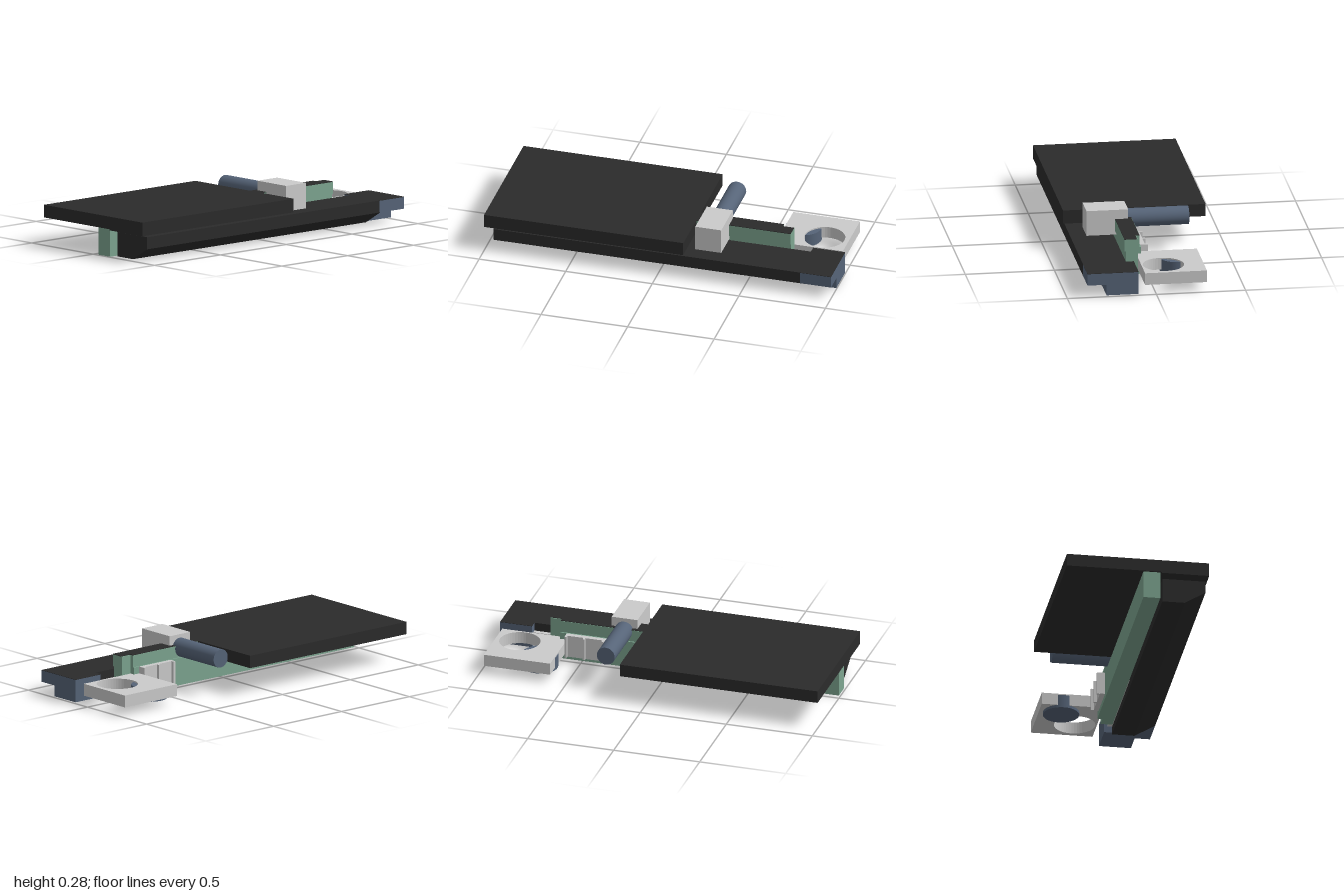
import * as THREE from 'three';

const mat = (color) => new THREE.MeshStandardMaterial({ color });

export function createModel() {
  const root = new THREE.Group();
  const grey = mat(0xcccccc), black = mat(0x2b2b2b), green = mat(0x7da590), blue = mat(0x566478);

  const add = (name, geometry, material) => {
    const mesh = new THREE.Mesh(geometry, material);
    mesh.name = name;
    root.add(mesh);
    return mesh;
  };
  // box given by its two extremes on each axis
  const box = (name, material, [x0, x1], [y0, y1], [z0, z1]) => {
    const mesh = add(name, new THREE.BoxGeometry(x1 - x0, y1 - y0, z1 - z0), material);
    mesh.position.set((x0 + x1) / 2, (y0 + y1) / 2, (z0 + z1) / 2);
    return mesh;
  };
  const extrude = (shape, depth) =>
    new THREE.ExtrudeGeometry(shape, { depth, bevelEnabled: false, curveSegments: 24 });

  // wide upper plate, slightly thicker on its left side
  box('topPlate', black, [-0.4, 0.4], [0.157, 0.228], [-0.15, 1]);
  box('topPlateLip', black, [0.135, 0.4], [0.151, 0.158], [-0.15, 1]);

  // long side beam with a chamfered lower edge
  const section = new THREE.Shape([
    [0.145, 0], [0.27, 0], [0.387, 0.07], [0.387, 0.138], [0.145, 0.138],
  ].map(([x, y]) => new THREE.Vector2(x, y)));
  add('sideBeam', extrude(section, 1.77), black).position.z = -0.82;

  // stepped block closing the rear of the beam, with a dark cap
  box('endBlockUpper', blue, [0.1, 0.387], [0.07, 0.136], [-1, -0.815]);
  box('endBlockLower', blue, [0.1, 0.28], [0.008, 0.07], [-1, -0.815]);
  box('endBlockCap', black, [0.1, 0.387], [0.136, 0.138], [-1, -0.815]);

  // inner rail with a raised rear part
  box('rail', green, [0.032, 0.127], [0, 0.157], [-0.63, 0.99]);
  box('railTail', green, [0.06, 0.127], [0, 0.157], [-0.695, -0.63]);
  box('railRiser', green, [0.04, 0.135], [0.157, 0.225], [-0.63, -0.15]);
  box('railRiserTail', green, [0.06, 0.135], [0.157, 0.225], [-0.695, -0.63]);
  box('railCap', black, [0.042, 0.135], [0.225, 0.228], [-0.63, -0.15]);
  box('railCapTail', black, [0.065, 0.135], [0.225, 0.228], [-0.695, -0.63]);

  // spacer bar between rail and beam
  box('spacerBar', grey, [0.12, 0.146], [0.045, 0.09], [-0.83, -0.2]);

  // finned bracket on the outer side of the rail
  box('bracketPlate', grey, [0.004, 0.034], [0.028, 0.157], [-0.59, -0.36]);
  for (const z of [-0.37, -0.48, -0.585]) {
    box('bracketFin', grey, [-0.013, 0.034], [0.028, 0.157], [z - 0.006, z + 0.006]);
  }

  // square plate with a round hole
  const plate = new THREE.Shape([
    [-0.287, 0.59], [0.06, 0.59], [0.06, 0.975], [-0.287, 0.975],
  ].map(([x, y]) => new THREE.Vector2(x, y)));
  plate.holes.push(new THREE.Path().absarc(-0.063, 0.835, 0.115, 0, Math.PI * 2, true));
  const holder = add('holedPlate', extrude(plate, 0.068), grey);
  holder.rotation.x = -Math.PI / 2;
  holder.position.y = 0.05;

  // round knob set into the underside of the plate
  add('knob', new THREE.CylinderGeometry(0.101, 0.101, 0.075, 40), blue)
    .position.set(-0.163, 0.0725, -0.686);

  // clamp block and its cross rod
  box('clampBlock', grey, [0.062, 0.296], [0.138, 0.282], [-0.34, -0.19]);
  const rod = add('crossRod', new THREE.CylinderGeometry(0.052, 0.052, 0.36, 32), blue);
  rod.rotation.z = Math.PI / 2;
  rod.position.set(-0.105, 0.21, -0.267);

  return root;
}
